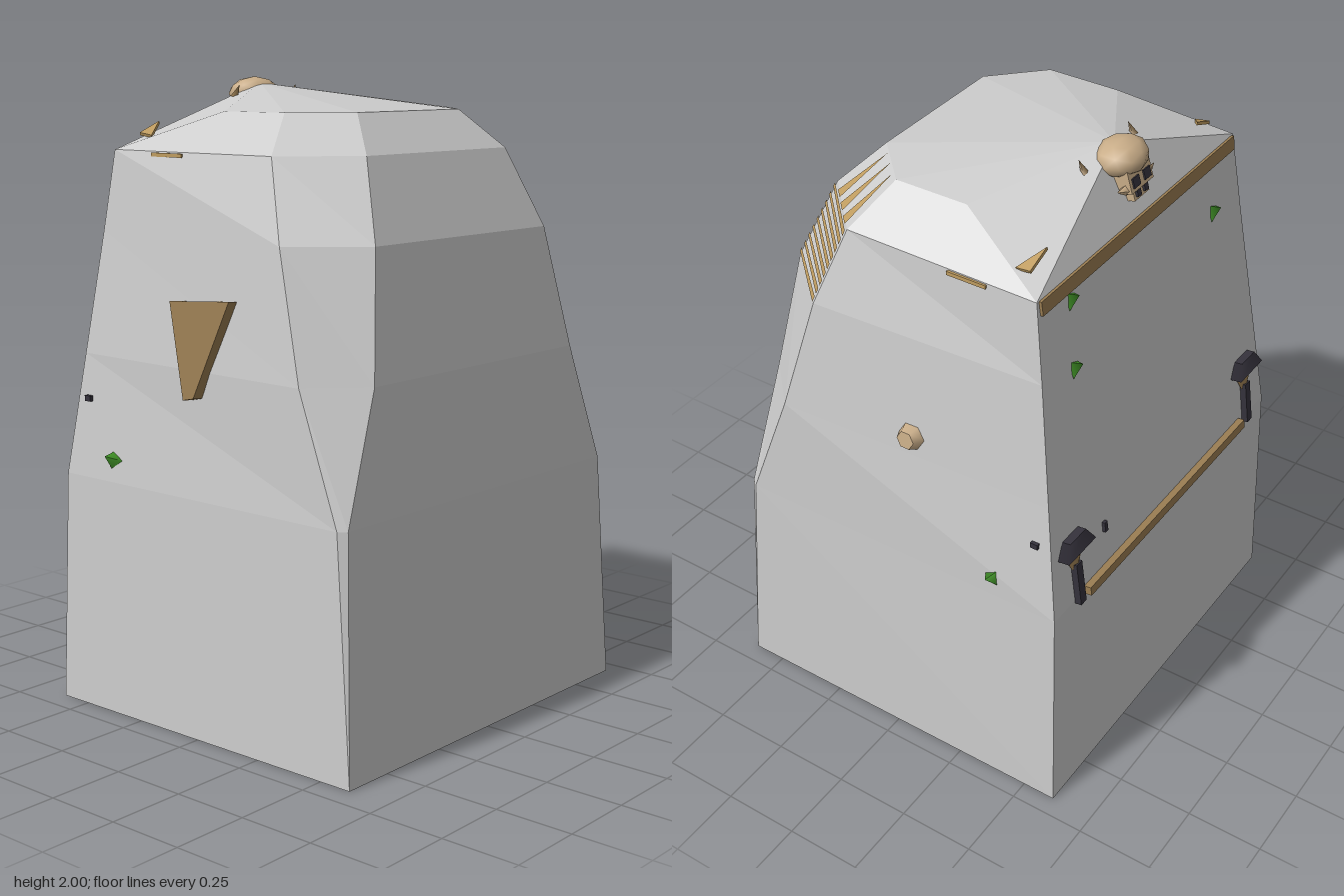
import * as THREE from 'three';

const mat = (name, color, side = THREE.FrontSide) => {
  const m = new THREE.MeshStandardMaterial({ color, side });
  m.name = name;
  return m;
};

// Flat-shaded geometry from a list of corner triples
function facets(tris) {
  const g = new THREE.BufferGeometry();
  g.setAttribute('position', new THREE.Float32BufferAttribute(tris.flat(2), 3));
  g.computeVertexNormals();
  return g;
}
const lerp = (a, b, t) => a.map((v, i) => v + (b[i] - v) * t);

export function createModel() {
  const stone = mat('pale stone', 0xcccccc);
  const bone = mat('bone', 0xc9ad88);
  const wood = mat('brown wood', 0x9a7d52);
  const gold = mat('ochre', 0xbf9c60);
  const iron = mat('dark iron', 0x35323c);
  const leaf = mat('green leaf', 0x3f8f26, THREE.DoubleSide);
  const group = new THREE.Group();

  const add = (name, geo, material, pos = [0, 0, 0], rot = [0, 0, 0]) => {
    const m = new THREE.Mesh(geo, material);
    m.name = name;
    m.position.set(...pos);
    m.rotation.set(...rot, 'ZYX');
    group.add(m);
    return m;
  };

  // Stone block: six-sided rings whose front corners are chamfered higher up
  const cx = 0.008;
  // y, front corner x z, side corner x z, back corner x z
  const levels = [
    [0, 0.68, 0.61, 0.68, 0.61, 0.68, -0.61],
    [0.75, 0.645, 0.575, 0.665, 0.55, 0.66, -0.59],
    [1.14, 0.5, 0.55, 0.655, 0.4, 0.618, -0.537],
    [1.53, 0.425, 0.49, 0.612, 0.29, 0.577, -0.484],
    [1.78, 0.345, 0.39, 0.545, 0.2, 0.555, -0.45],
    [1.9, 0.25, 0.275, 0.405, 0.125, 0.405, -0.12],
  ];
  const rings = levels.map(([y, fx, fz, sx, sz, bx, bz]) => [
    [cx + bx, y, bz], [cx + sx, y, sz], [cx + fx, y, fz],
    [cx - fx, y, fz], [cx - sx, y, sz], [cx - bx, y, bz],
  ]);
  const tris = [];
  for (let k = 0; k < 5; k++) {
    const a = rings[k], b = rings[k + 1];
    for (let i = 0; i < (k === 4 ? 5 : 6); i++) {
      const j = (i + 1) % 6;
      tris.push([a[i], b[i], b[j]], [a[i], b[j], a[j]]);
    }
  }
  for (let i = 1; i < 5; i++) tris.push([rings[0][0], rings[0][i], rings[0][i + 1]]);
  // Roof fan around an off-centre peak
  const peak = [cx, 1.98, -0.35];
  const rim = [rings[4][0], ...rings[5], rings[4][5]];
  rim.forEach((p, i) => tris.push([rim[(i + 1) % rim.length], p, peak]));
  add('stoneBlock', facets(tris), stone);

  // Worn ochre stripes on the left front chamfer
  const strips = [];
  const out = ([x, y, z]) => [x + 0.003, y + 0.002, z + 0.003];
  const [lo, mid, hi] = [rings[3], rings[4], rings[5]];
  const rows = 9;
  for (let r = 0; r < rows; r++) {
    const at = (i, t) => out(lerp(lo[i], mid[i], t / rows));
    const a = at(2, r + 0.3), b = at(1, r + 0.15), c = at(1, r + 0.8), d = at(2, r + 0.7);
    strips.push([a, b, c], [a, c, d]);
  }
  for (let r = 0; r < 3; r++) {
    const low = (t) => out(lerp(mid[2], mid[1], t));
    strips.push([low(0.2 + r * 0.27), low(0.36 + r * 0.27), out(lerp(hi[2], hi[1], 0.3 + r * 0.27))]);
  }
  add('chamferStripes', facets(strips), gold);

  // Skull on the peak, looking backwards
  add('skullDome', new THREE.IcosahedronGeometry(1, 1), bone, [cx, 1.945, -0.375]).scale.set(0.095, 0.055, 0.076);
  add('skullFace', new THREE.BoxGeometry(0.12, 0.07, 0.05), bone, [cx, 1.895, -0.415], [0.3, 0, 0]);
  add('skullJaw', new THREE.BoxGeometry(0.08, 0.03, 0.04), bone, [cx, 1.845, -0.425], [0.3, 0, 0]);
  for (const s of [-1, 1]) {
    add('eyeSocket', new THREE.BoxGeometry(0.035, 0.03, 0.008), iron, [cx + s * 0.03, 1.895, -0.442], [0.3, 0, 0]);
    add('cheekBone', new THREE.ConeGeometry(0.02, 0.06, 4), bone, [cx + s * 0.075, 1.88, -0.425], [0, 0, -s * 1.3]);
    add('toothGap', new THREE.BoxGeometry(0.02, 0.025, 0.008), iron, [cx + s * 0.02, 1.858, -0.446], [0.3, 0, 0]);
  }

  // Planks across the back
  const lean = 0.135;
  add('ridgePlank', new THREE.BoxGeometry(1.09, 0.045, 0.014), wood, [cx, 1.757, -0.455], [lean, 0, 0]);
  add('lowerRail', new THREE.BoxGeometry(0.98, 0.03, 0.03), wood, [cx, 0.752, -0.598], [lean, 0, 0]);

  for (const s of [-1, 1]) {
    // Torch brackets
    const x = cx + s * 0.53;
    add('torchPost', new THREE.BoxGeometry(0.03, 0.15, 0.025), iron, [x, 0.815, -0.59], [lean, 0, 0]);
    add('torchFunnel', new THREE.CylinderGeometry(0.055, 0.018, 0.07, 4), wood, [x, 0.905, -0.575], [lean, 0, 0])
      .scale.set(1, 1, 0.45);
    add('torchBowl', new THREE.CylinderGeometry(0.06, 0.105, 0.05, 4, 1).rotateY(Math.PI / 4), iron,
      [x, 0.965, -0.575], [lean, 0, 0]).scale.set(1, 1, 0.33);

    // Roof chips and slivers
    const chip = new THREE.Shape([[0.04, 0.02], [0.04, -0.03], [-0.05, 0.02]].map(([u, v]) => new THREE.Vector2(s * u, v)));
    const chipGeo = new THREE.ExtrudeGeometry(chip, { depth: 0.01, bevelEnabled: false });
    add('roofChip', chipGeo, gold, [cx + s * 0.46, 1.835, -0.375], [-Math.PI / 2 + 0.15, 0, -s * 0.38]);
    add('sideSliver', new THREE.BoxGeometry(0.012, 0.012, 0.13), gold, [cx + s * 0.553, 1.77, -0.22]);
    add('hornStub', new THREE.ConeGeometry(0.015, 0.045, 3), wood, [cx + s * 0.135, 1.955, -0.325], [0.5, 0, 0]);

    // Leaves sticking out of the side walls
    add('sideLeaf', new THREE.ConeGeometry(0.035, 0.06, 3), leaf, [cx + s * 0.672, 0.83, -0.37], [0, 0, -s * 1.2]);
    add('ironPeg', new THREE.BoxGeometry(0.015, 0.018, 0.025), iron, [cx + s * 0.638, 1.0, -0.505]);
  }
  add('ironHook', new THREE.BoxGeometry(0.015, 0.035, 0.015), iron, [0.365, 0.9, -0.573], [lean, 0, 0]);

  // Leaves on the back wall
  for (const [x, y, z] of [[0.41, 1.7, -0.463], [0.43, 1.49, -0.493], [-0.39, 1.58, -0.48]]) {
    add('backLeaf', new THREE.ConeGeometry(0.025, 0.05, 3), leaf, [x, y, z], [Math.PI + lean, 0, 0.4]);
  }

  // Pebble set in the left wall
  add('wallPebble', new THREE.CylinderGeometry(0.03, 0.048, 0.04, 6), bone, [0.65, 1.205, -0.065], [0, 0, -Math.PI / 2 + 0.12]);

  // Wedge-shaped shard on the right wall
  const wedge = new THREE.Shape([[-0.13, 0.13], [-0.045, -0.16], [0.0, -0.15], [0.13, 0.15]].map((p) => new THREE.Vector2(...p)));
  add('wallWedge', new THREE.ExtrudeGeometry(wedge, { depth: 0.035, bevelEnabled: false }), wood,
    [-0.618, 1.21, 0], [0, -Math.PI / 2 - 0.06, -0.1]);

  return group;
}
